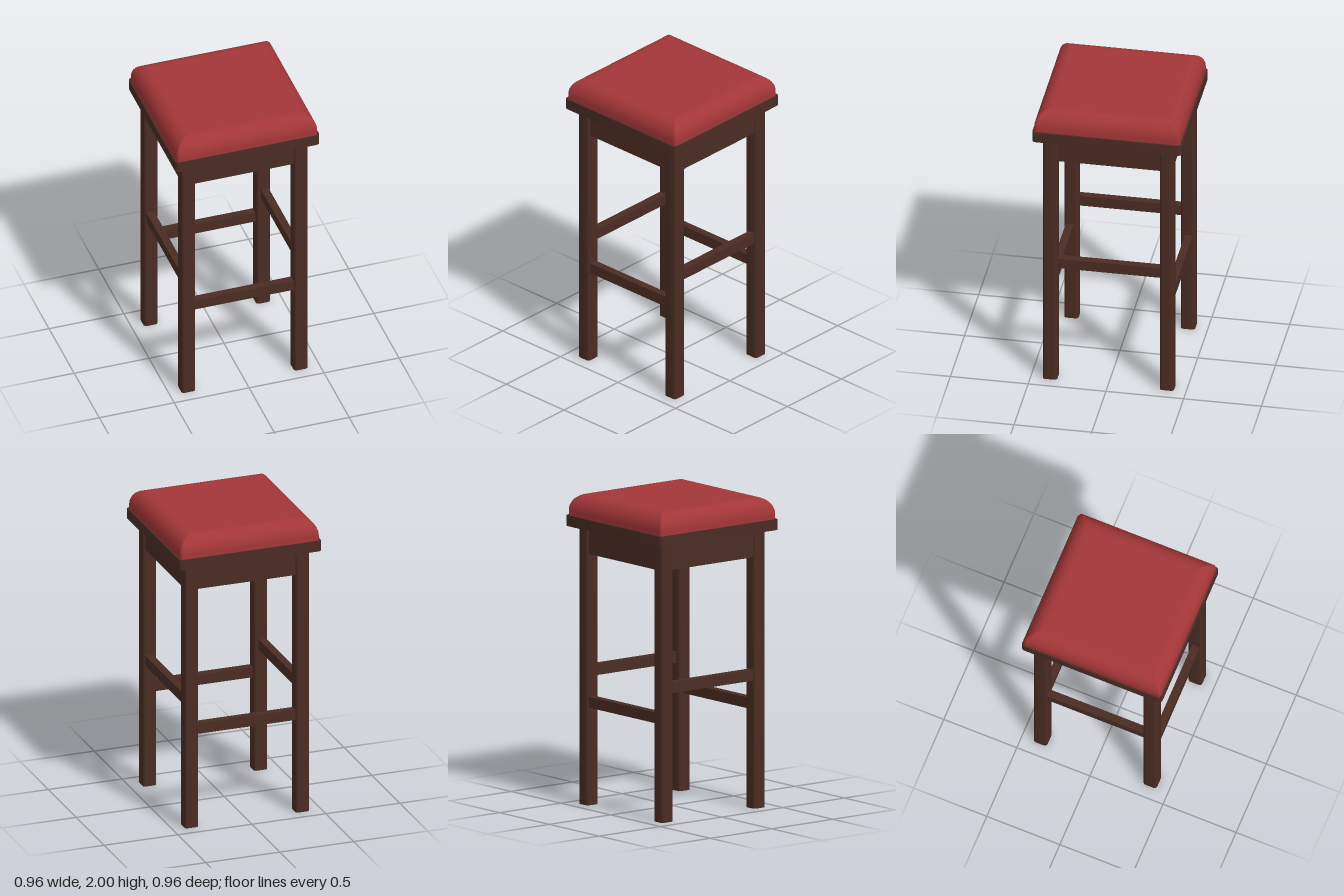
import * as THREE from 'three';
import { toCreasedNormals } from 'three/addons/utils/BufferGeometryUtils.js';

// Outline of a square with rounded corners, as [x, z] points
function roundedSquare(half, r, steps = 4) {
  const pts = [];
  for (let c = 0; c < 4; c++) {
    const mid = Math.PI / 4 + c * Math.PI / 2;
    const cx = Math.sign(Math.cos(mid)) * (half - r);
    const cz = Math.sign(Math.sin(mid)) * (half - r);
    for (let i = 0; i <= steps; i++) {
      const a = (c + i / steps) * Math.PI / 2;
      pts.push([cx + r * Math.cos(a), cz + r * Math.sin(a)]);
    }
  }
  return pts;
}

// Upright square post with rounded vertical edges, standing on y = 0
function postGeometry(half, r, height) {
  const shape = new THREE.Shape(roundedSquare(half, r).map(([x, z]) => new THREE.Vector2(x, z)));
  const g = new THREE.ExtrudeGeometry(shape, { depth: height, bevelEnabled: false });
  g.rotateX(-Math.PI / 2);
  return toCreasedNormals(g, 0.6);
}

// Padded cushion: stacked rings that curve in to a flat top
function cushionGeometry() {
  const rings = [[0.47, 1.855, 0.02]];
  const steps = 10;
  for (let i = 0; i <= steps; i++) {
    const a = (i / steps) * Math.PI / 2;
    rings.push([0.37 + 0.1 * Math.cos(a), 1.89 + 0.11 * Math.sin(a), 0.02 - 0.015 * i / steps]);
  }
  rings.push([0.34, 2, 0.005]);
  const pos = [], idx = [];
  let n = 0;
  for (const [half, y, r] of rings) {
    const outline = roundedSquare(half, r);
    n = outline.length;
    for (const [x, z] of outline) pos.push(x, y, z);
  }
  for (let k = 0; k < rings.length - 1; k++) {
    for (let i = 0; i < n; i++) {
      const a = k * n + i, b = k * n + (i + 1) % n;
      idx.push(a, a + n, b, b, a + n, b + n);
    }
  }
  // Flat centre of the top and the underside
  const last = (rings.length - 1) * n, centre = pos.length / 3;
  pos.push(0, 2, 0);
  for (let i = 0; i < n; i++) idx.push(centre, last + (i + 1) % n, last + i);
  const g = new THREE.BufferGeometry();
  g.setAttribute('position', new THREE.Float32BufferAttribute(pos, 3));
  g.setIndex(idx);
  g.computeVertexNormals();
  return g;
}

export function createModel() {
  const wood = new THREE.MeshStandardMaterial({ color: 0x4a2c23 });
  wood.name = 'darkWood';
  const leather = new THREE.MeshStandardMaterial({ color: 0xa33638 });
  leather.name = 'redLeather';

  const stool = new THREE.Group();
  stool.name = 'barStool';
  const add = (name, geometry, material, x, y, z, turn = 0) => {
    const mesh = new THREE.Mesh(geometry, material);
    mesh.name = name;
    mesh.position.set(x, y, z);
    mesh.rotation.y = turn;
    stool.add(mesh);
  };

  // Seat
  add('cushion', cushionGeometry(), leather, 0, 0, 0);
  add('seatBoard', postGeometry(0.48, 0.022, 0.07), wood, 0, 1.79, 0);

  // Legs
  const leg = postGeometry(0.046, 0.018, 1.79);
  for (const x of [-1, 1]) {
    for (const z of [-1, 1]) {
      add((z > 0 ? 'front' : 'back') + (x > 0 ? 'Left' : 'Right') + 'Leg', leg, wood, x * 0.375, 0, z * 0.375);
    }
  }

  // Aprons under the seat and foot rails; side rails sit higher
  const apron = new THREE.BoxGeometry(0.68, 0.17, 0.05);
  const rail = new THREE.BoxGeometry(0.68, 0.07, 0.05);
  const off = 0.383;
  for (const s of [-1, 1]) {
    const end = s > 0 ? 'front' : 'back', side = s > 0 ? 'left' : 'right';
    add(end + 'Apron', apron, wood, 0, 1.705, s * off);
    add(side + 'Apron', apron, wood, s * off, 1.705, 0, Math.PI / 2);
    add(end + 'Rail', rail, wood, 0, 0.665, s * off);
    add(side + 'Rail', rail, wood, s * off, 0.86, 0, Math.PI / 2);
  }
  return stool;
}
